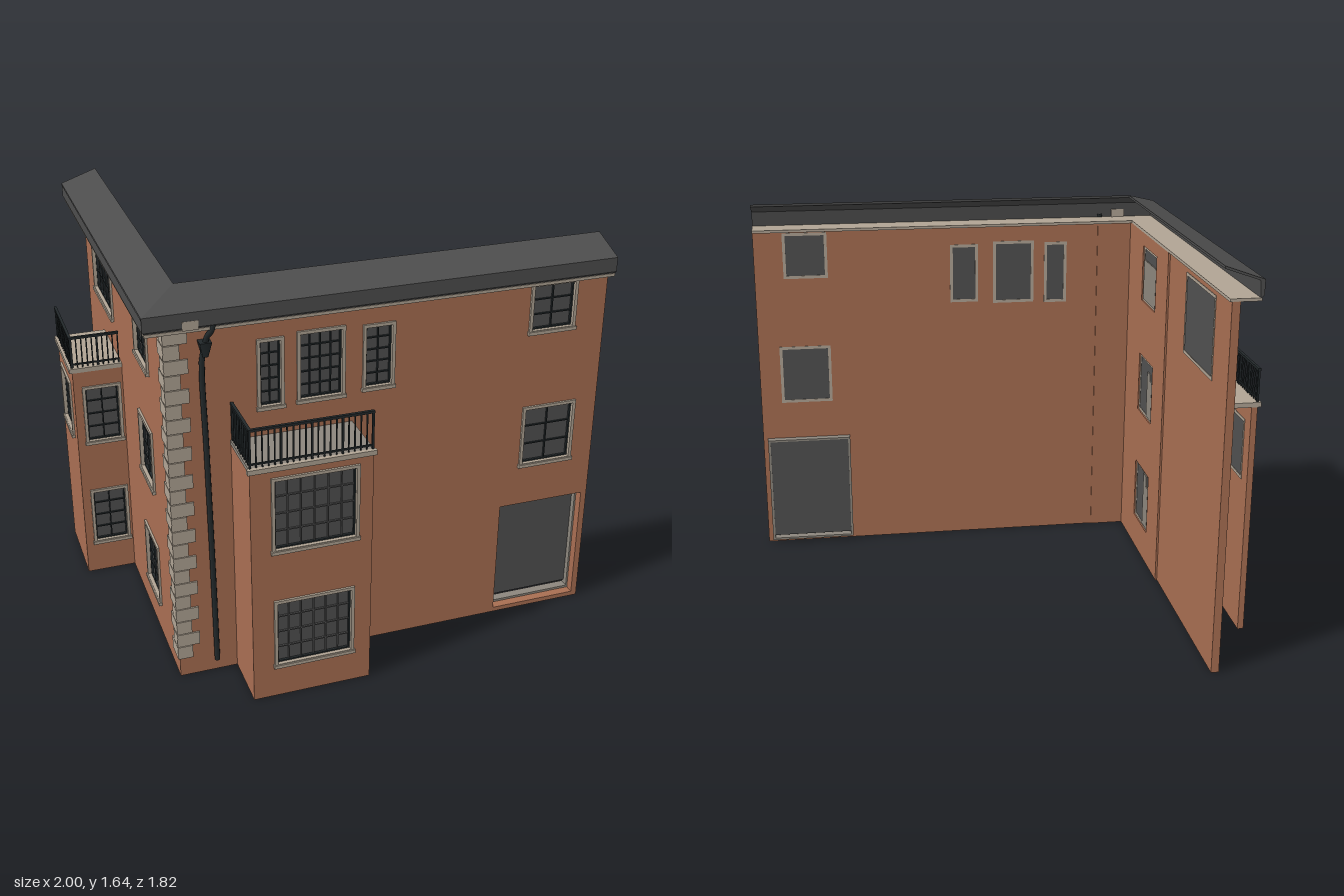
import * as THREE from 'three';

const mat = (name, color, side = THREE.FrontSide) => {
  const m = new THREE.MeshStandardMaterial({ color, side });
  m.name = name;
  return m;
};
const M = {
  brick: mat('terracotta wall', 0xa86e52),
  stone: mat('pale stone', 0xb0a494),
  slab: mat('grey stone', 0x8c867d),
  roof: mat('roof grey', 0x4d4d4d, THREE.DoubleSide),
  soffit: mat('soffit stone', 0xb0a494, THREE.DoubleSide),
  pane: mat('window grey', 0x505050),
  iron: mat('black iron', 0x22282a),
};

function add(parent, name, geometry, material) {
  const m = new THREE.Mesh(geometry, material);
  m.name = name;
  parent.add(m);
  return m;
}

// Box given by its limits on each axis
function box(parent, name, material, x0, x1, y0, y1, z0, z1) {
  const m = add(parent, name, new THREE.BoxGeometry(x1 - x0, y1 - y0, z1 - z0), material);
  m.position.set((x0 + x1) / 2, (y0 + y1) / 2, (z0 + z1) / 2);
  return m;
}

// Upright plate with rectangular holes, from z0 to z1
function plate(parent, name, material, [x0, x1, y0, y1], holes, z0, z1) {
  const outline = (P, a, b, c, d) => new P([[a, c], [b, c], [b, d], [a, d]].map(p => new THREE.Vector2(...p)));
  const shape = outline(THREE.Shape, x0, x1, y0, y1);
  shape.holes = holes.map(h => outline(THREE.Path, ...h));
  const geo = new THREE.ExtrudeGeometry(shape, { depth: z1 - z0, bevelEnabled: false });
  add(parent, name, geo, material).position.z = z0;
}

// Window: stone surround, sill, recessed pane and glazing bars
function windowUnit(parent, [x0, x1, y0, y1, cols = 2, rows = 3, barMat = M.iron], face, thick) {
  const g = new THREE.Group();
  g.name = 'window';
  parent.add(g);
  const f = 0.013, back = face - thick;
  const inner = [x0 + f, x1 - f, y0 + f, y1 - f];
  plate(g, 'windowSurround', M.stone, [x0, x1, y0, y1], [inner], back - 0.002, face + 0.009);
  box(g, 'windowSill', M.stone, x0 - 0.004, x1 + 0.004, y0 - 0.004, y0 + 0.01, face, face + 0.014);
  box(g, 'windowPane', M.pane, ...inner, back, face - 0.016);
  plate(g, 'windowSash', M.iron, inner,
    [[inner[0] + 0.006, inner[1] - 0.006, inner[2] + 0.006, inner[3] - 0.006]], face - 0.016, face - 0.006);
  const w = inner[1] - inner[0], h = inner[3] - inner[2], t = 0.0025;
  for (let i = 1; i < cols; i++) {
    const x = inner[0] + w * i / cols;
    box(g, 'uprightBar', barMat, x - t, x + t, inner[2], inner[3], face - 0.016, face - 0.008);
  }
  for (let i = 1; i < rows; i++) {
    const y = inner[2] + h * i / rows;
    box(g, 'crossBar', barMat, inner[0], inner[1], y - t, y + t, face - 0.016, face - 0.009);
  }
}

// Wall with its windows; extra holes stay open
function facade(parent, name, u0, u1, h, face, thick, windows, extra = []) {
  const holes = windows.map(w => w.slice(0, 4)).concat(extra);
  plate(parent, name, M.brick, [u0, u1, 0, h], holes, face - thick, face);
  windows.forEach(w => windowUnit(parent, w, face, thick));
}

// Straight railing along x at depth z
function railing(parent, x0, x1, y0, y1, z, count) {
  const g = new THREE.Group();
  g.name = 'railing';
  parent.add(g);
  box(g, 'handrail', M.iron, x0, x1, y1 - 0.01, y1, z - 0.006, z + 0.006);
  box(g, 'bottomRail', M.iron, x0, x1, y0 + 0.012, y0 + 0.018, z - 0.004, z + 0.004);
  for (let i = 0; i <= count; i++) {
    const x = x0 + 0.004 + (x1 - x0 - 0.008) * i / count;
    const t = i % 5 === 0 ? 0.004 : 0.0025;
    box(g, 'baluster', M.iron, x - t, x + t, y0, y1 - 0.005, z - t, z + t);
  }
}

// Four-cornered eaves profile carried round the mitred corner
function eaves(parent, name, material, profile) {
  const rings = [
    profile.map(([o, y]) => [1, y, o]),
    profile.map(([o, y]) => [-o - 0.15, y, o]),
    profile.map(([o, y]) => [-o - 0.15, y, -0.91]),
  ];
  const pos = [];
  const quad = (a, b, c, d) => pos.push(...a, ...b, ...c, ...a, ...c, ...d);
  for (let r = 0; r < 2; r++) {
    for (let i = 0; i < 4; i++) {
      const j = (i + 1) % 4;
      quad(rings[r][i], rings[r][j], rings[r + 1][j], rings[r + 1][i]);
    }
  }
  quad(...[...rings[0]].reverse());
  quad(...rings[2]);
  const geo = new THREE.BufferGeometry();
  geo.setAttribute('position', new THREE.Float32BufferAttribute(pos, 3));
  geo.computeVertexNormals();
  add(parent, name, geo, material);
}

export function createModel() {
  const model = new THREE.Group();
  model.name = 'cornerHouse';

  // Front wall with garage opening
  const front = new THREE.Group();
  front.name = 'frontSide';
  model.add(front);
  facade(front, 'frontWall', -0.775, 1, 1.51, 0.655, 0.04, [
    [-0.435, -0.33, 1.14, 1.425, 2, 5], [-0.28, -0.09, 1.145, 1.435, 4, 5], [-0.02, 0.11, 1.155, 1.425, 2, 5],
    [0.67, 0.87, 1.29, 1.5, 2, 3], [0.67, 0.905, 0.7, 0.97, 2, 3],
  ], [[0.6, 0.975, 0.02, 0.52]]);
  plate(front, 'garageJamb', M.slab, [0.596, 0.979, 0.02, 0.526], [[0.606, 0.968, 0.03, 0.518]], 0.58, 0.618);
  box(front, 'garageDoor', M.pane, 0.604, 0.97, 0.045, 0.52, 0.582, 0.594);
  box(front, 'innerCornerLining', M.brick, -0.74, -0.58, 0, 1.51, 0.61, 0.616);

  // Front bay with balcony
  const bay = new THREE.Group();
  bay.name = 'frontBay';
  model.add(bay);
  facade(bay, 'bayWall', -0.54, -0.06, 1.012, 0.895, 0.03, [
    [-0.46, -0.115, 0.66, 0.98, 6, 4, M.pane], [-0.455, -0.13, 0.14, 0.445, 6, 4, M.pane],
  ]);
  for (const x of [-0.54, -0.09]) box(bay, 'bayCheek', M.brick, x, x + 0.03, 0, 1.012, 0.65, 0.866);
  box(bay, 'balconySlab', M.slab, -0.542, -0.058, 1.012, 1.03, 0.655, 0.89);
  box(bay, 'balconyEdge', M.stone, -0.55, -0.052, 1.012, 1.032, 0.89, 0.908);
  railing(bay, -0.54, -0.06, 1.032, 1.19, 0.89, 20);
  const cheekRail = new THREE.Group();
  cheekRail.rotation.y = -Math.PI / 2;
  cheekRail.name = 'balconySideRail';
  bay.add(cheekRail);
  railing(cheekRail, 0.66, 0.89, 1.032, 1.19, 0.535, 10);

  // Side wall, drawn along z and turned to face -x
  const side = new THREE.Group();
  side.name = 'rightSide';
  side.rotation.y = -Math.PI / 2;
  model.add(side);
  const column = [[1.2, 1.45], [0.68, 0.95], [0.15, 0.425]];
  facade(side, 'sideWall', -0.91, 0.616, 1.51, 0.775, 0.032, [
    ...column.map(([a, b]) => [0.125, 0.36, a, b, 3, 4]),
    [-0.72, -0.32, 1.15, 1.485, 6, 4],
  ]);
  plate(side, 'innerLining', M.brick, [-0.063, 0.616, 0, 1.51],
    column.map(([a, b]) => [0.125, 0.36, a, b]), 0.735, 0.743);

  // Grey boards behind the stacked windows
  for (const [z1, y0, y1] of [[0.345, 1.21, 1.39], [0.22, 0.69, 0.87], [0.17, 0.87, 0.9], [0.22, 0.16, 0.36], [0.17, 0.36, 0.41]]) {
    box(side, 'innerBoard', M.slab, z1 === 0.17 ? 0.172 : 0.138, z1 === 0.17 ? 0.22 : z1, y0, y1, 0.738, 0.743);
  }

  // Side bay, open at the rear, with balcony
  facade(side, 'sideBayWall', -0.57, -0.21, 0.985, 0.985, 0.025, [[-0.5, -0.28, 0.65, 0.91, 3, 4]]);
  box(side, 'sideBalconySlab', M.stone, -0.575, -0.205, 0.985, 1.005, 0.77, 0.998);
  railing(side, -0.57, -0.215, 1.005, 1.145, 0.984, 15);
  const bayCheek = new THREE.Group();
  bayCheek.name = 'sideBayFront';
  model.add(bayCheek);
  facade(bayCheek, 'sideBayCheek', -0.985, -0.77, 0.985, -0.21, 0.03, [
    [-0.95, -0.785, 0.645, 0.915, 2, 4], [-0.95, -0.785, 0.145, 0.415, 2, 4],
  ]);
  railing(bayCheek, -0.985, -0.78, 1.005, 1.145, -0.22, 9);

  // Corner stones, alternately long and short on each face
  for (let i = 0; i < 24; i++) {
    const y = 0.085 + i * 0.0593, long = i % 2;
    box(model, 'cornerStoneFront', M.stone, -0.782, long ? -0.692 : -0.722, y, y + 0.056, 0.65, 0.662);
    box(model, 'cornerStoneSide', M.stone, -0.783, -0.77, y, y + 0.056, long ? 0.6 : 0.57, 0.661);
  }
  box(model, 'eavesBlock', M.stone, -0.72, -0.66, 1.52, 1.555, 0.69, 0.714);

  // Eaves: soffit, fascia gutter and sloping roof edge
  eaves(model, 'soffit', M.soffit, [[0.705, 1.508], [0.705, 1.52], [0.585, 1.52], [0.585, 1.508]]);
  eaves(model, 'gutter', M.roof, [[0.7, 1.518], [0.713, 1.53], [0.713, 1.585], [0.695, 1.585]]);
  eaves(model, 'roofEdge', M.roof, [[0.714, 1.578], [0.714, 1.588], [0.56, 1.642], [0.56, 1.632]]);

  // Rainwater pipe with hopper
  const pipe = (pts, r) => add(model, 'drainPipe', new THREE.TubeGeometry(
    new THREE.CatmullRomCurve3(pts.map(p => new THREE.Vector3(...p))), 24, r, 8), M.iron);
  pipe([[-0.605, 1.535, 0.7], [-0.61, 1.505, 0.7], [-0.625, 1.475, 0.685], [-0.63, 1.44, 0.675]], 0.011);
  pipe([[-0.635, 1.43, 0.672], [-0.643, 1.38, 0.67], [-0.637, 1.0, 0.667], [-0.63, 0.5, 0.667], [-0.625, 0.055, 0.667]], 0.011);
  const hopper = add(model, 'pipeHopper', new THREE.CylinderGeometry(0.032, 0.014, 0.06, 4, 1), M.iron);
  hopper.geometry.rotateY(Math.PI / 4);
  hopper.position.set(-0.632, 1.425, 0.675);
  return model;
}
